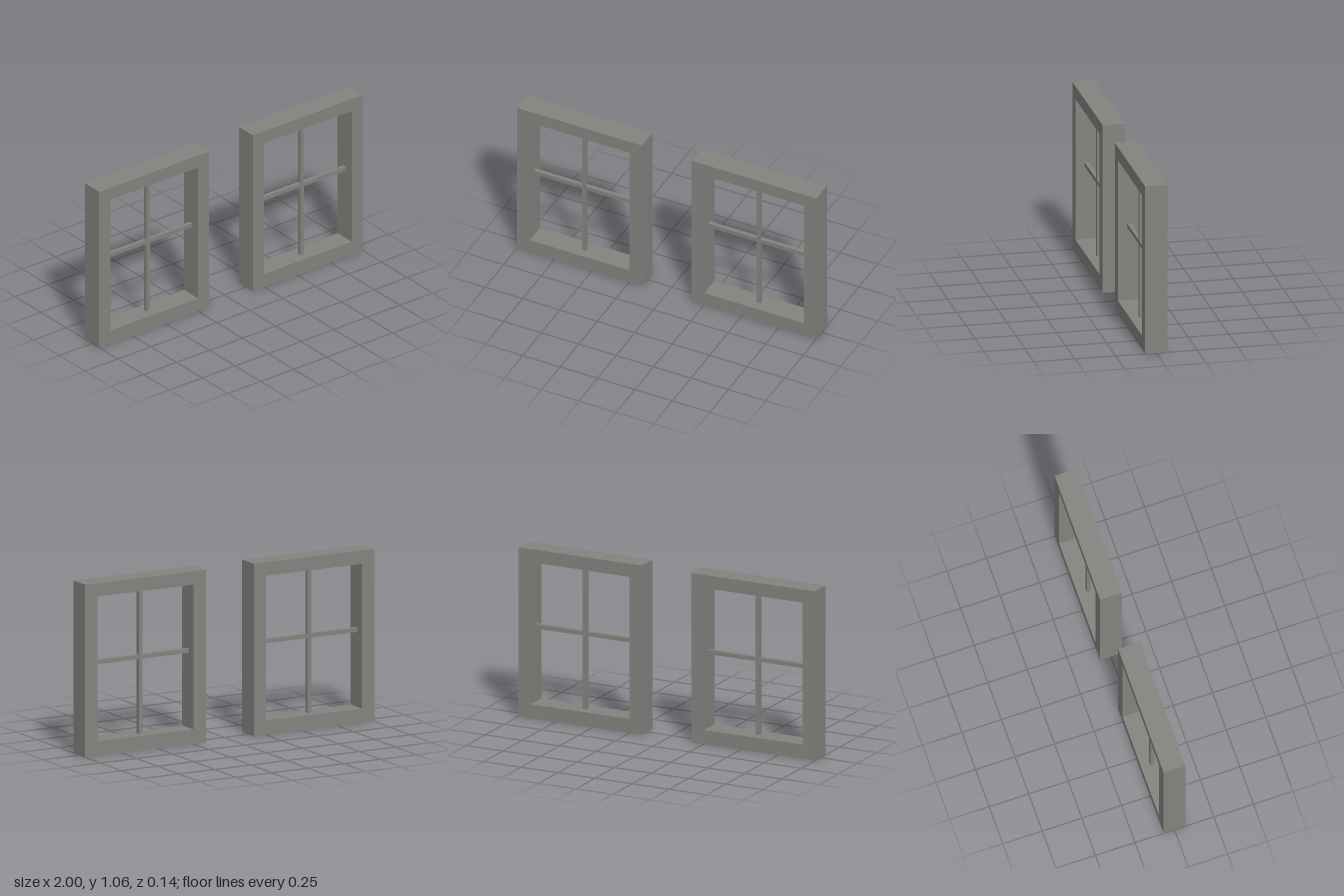
import * as THREE from 'three';

const WIDTH = 0.834, HEIGHT = 1.057, DEPTH = 0.138;
const OPENING = { halfWidth: 0.333, bottom: 0.088, top: 0.975 };
const BAR = 0.026, BAR_Y = 0.56;

// Rectangular surround with one opening
function frameGeometry() {
  const rect = (path, hw, y0, y1) =>
    path.moveTo(-hw, y0).lineTo(hw, y0).lineTo(hw, y1).lineTo(-hw, y1).closePath();
  const shape = rect(new THREE.Shape(), WIDTH / 2, 0, HEIGHT);
  shape.holes.push(rect(new THREE.Path(), OPENING.halfWidth, OPENING.bottom, OPENING.top));
  return new THREE.ExtrudeGeometry(shape, { depth: DEPTH, bevelEnabled: false })
    .translate(0, 0, -DEPTH / 2);
}

export function createModel() {
  const paint = new THREE.MeshStandardMaterial({ color: 0x82847f });
  paint.name = 'grey paint';

  const part = (name, geometry, parent, y = 0) => {
    const mesh = new THREE.Mesh(geometry, paint);
    mesh.name = name;
    mesh.position.y = y;
    parent.add(mesh);
  };

  const model = new THREE.Group();
  model.name = 'windowPair';

  for (const side of [-1, 1]) {
    const sash = new THREE.Group();
    sash.name = side < 0 ? 'rightWindow' : 'leftWindow';
    sash.position.x = side * (1 - WIDTH / 2);
    part('frame', frameGeometry(), sash);

    // Crossing glazing bars, set at mid depth
    const openingHeight = OPENING.top - OPENING.bottom;
    part('verticalBar', new THREE.BoxGeometry(BAR, openingHeight, BAR), sash,
      OPENING.bottom + openingHeight / 2);
    part('horizontalBar', new THREE.BoxGeometry(OPENING.halfWidth * 2, BAR, BAR), sash, BAR_Y);
    model.add(sash);
  }
  return model;
}
